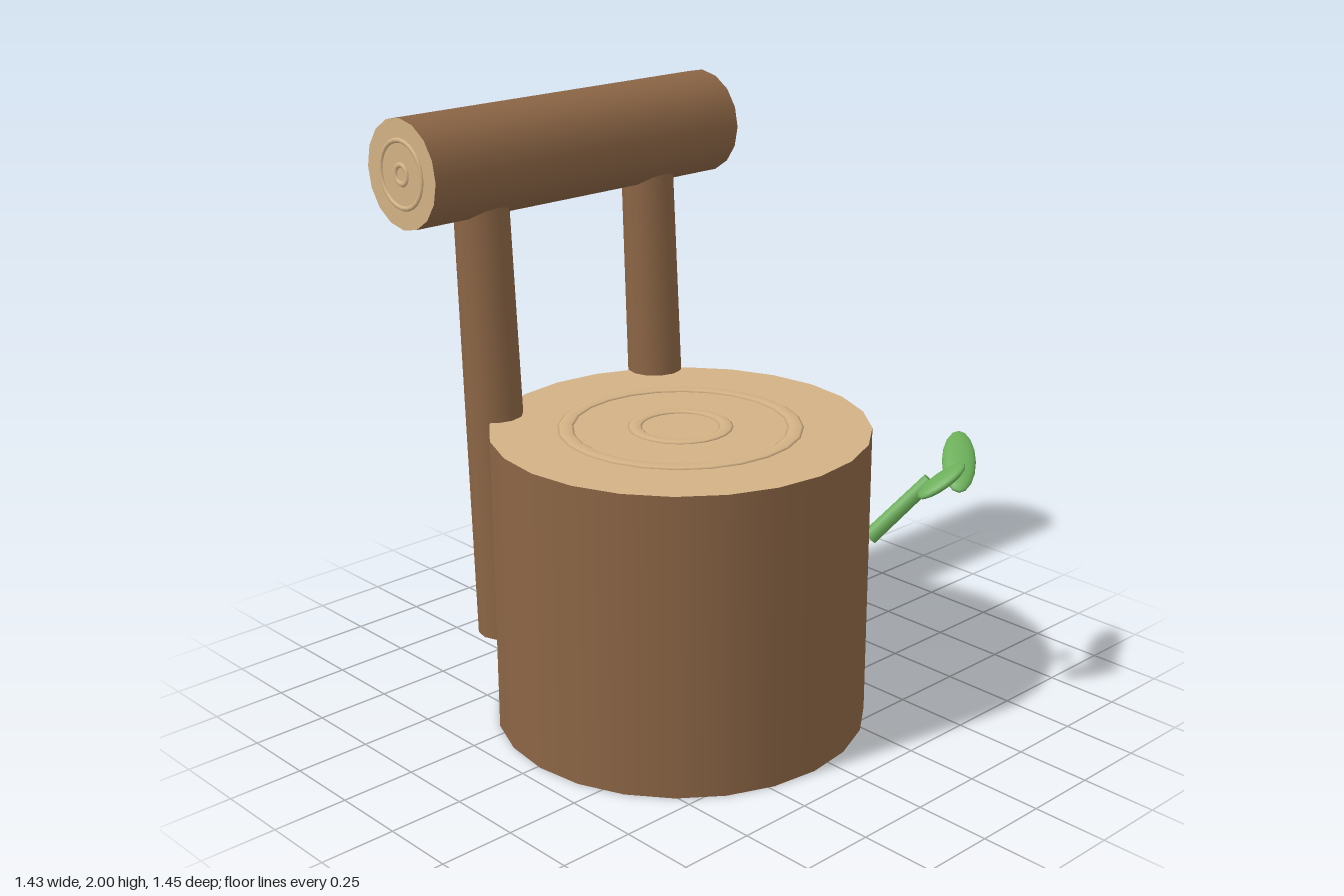
import * as THREE from 'three';

const bark = new THREE.MeshStandardMaterial({ color: 0x8b6545 });
bark.name = 'bark brown';
const wood = new THREE.MeshStandardMaterial({ color: 0xd2b184 });
wood.name = 'cut wood tan';
const leafGreen = new THREE.MeshStandardMaterial({ color: 0x6aad58 });
leafGreen.name = 'leaf green';

function addMesh(parent, name, geometry, material) {
  const mesh = new THREE.Mesh(geometry, material);
  mesh.name = name;
  parent.add(mesh);
  return mesh;
}

// Cylinder whose axis runs between two points
function addRod(parent, name, from, to, r0, r1, sides, material) {
  const a = new THREE.Vector3(...from);
  const b = new THREE.Vector3(...to);
  const dir = b.clone().sub(a);
  const rod = addMesh(parent, name, new THREE.CylinderGeometry(r1, r0, dir.length(), sides), material);
  rod.position.copy(a).add(b).multiplyScalar(0.5);
  rod.quaternion.setFromUnitVectors(new THREE.Vector3(0, 1, 0), dir.normalize());
  return rod;
}

// Flattened growth ring lying on a cut face, in the local xz plane
function addRing(parent, name, radius, tube, height, y) {
  const geometry = new THREE.TorusGeometry(radius, tube, 8, 24);
  geometry.rotateX(Math.PI / 2).scale(1, height / tube, 1);
  addMesh(parent, name, geometry, wood).position.y = y;
}

// Flattened ellipsoid leaf stretched along a half-length vector, facing up
function addLeaf(parent, name, center, half, width, thickness) {
  const along = new THREE.Vector3(...half);
  const length = along.length();
  along.normalize();
  const side = new THREE.Vector3().crossVectors(along, new THREE.Vector3(0, 1, 0)).normalize();
  const up = new THREE.Vector3().crossVectors(side, along);
  const geometry = new THREE.SphereGeometry(1, 16, 12);
  geometry.scale(length, thickness, width);
  const leaf = addMesh(parent, name, geometry, leafGreen);
  leaf.quaternion.setFromRotationMatrix(new THREE.Matrix4().makeBasis(along, up, side));
  leaf.position.set(...center);
}

export function createModel() {
  const model = new THREE.Group();
  model.name = 'stumpSeat';

  // Stump with cut faces and growth rings
  const stump = new THREE.Group();
  stump.name = 'stump';
  stump.position.set(-0.072, 0, 0.01);
  model.add(stump);
  addMesh(stump, 'stumpTrunk', new THREE.CylinderGeometry(0.615, 0.615, 1, 24), [bark, wood, wood]).position.y = 0.5;
  addRing(stump, 'stumpOuterRing', 0.37, 0.026, 0.006, 1);
  addRing(stump, 'stumpInnerRing', 0.147, 0.023, 0.006, 1);

  // Two leaning posts, half sunk in the back of the stump
  for (const [name, x] of [['rightPost', -0.428], ['leftPost', 0.283]]) {
    addRod(model, name, [x, 0.24, -0.464], [x, 1.78, -0.533], 0.1, 0.089, 12, bark);
  }

  // Backrest log lying across the posts, with rings on both ends
  const log = new THREE.Group();
  log.name = 'backrestLog';
  log.position.set(-0.072, 1.827, -0.555);
  log.rotation.z = Math.PI / 2;
  model.add(log);
  addMesh(log, 'logBody', new THREE.CylinderGeometry(0.175, 0.175, 1.275, 16), [bark, wood, wood]);
  for (const end of [-1, 1]) {
    addRing(log, 'logOuterRing', 0.106, 0.008, 0.006, end * 0.6375);
    addRing(log, 'logInnerRing', 0.03, 0.009, 0.006, end * 0.6375);
  }

  // Sprout on the front left of the stump
  const sprout = new THREE.Group();
  sprout.name = 'sprout';
  model.add(sprout);
  addRod(sprout, 'sproutStem', [0.376, 0.615, 0.436], [0.522, 0.81, 0.56], 0.028, 0.026, 8, leafGreen);
  addLeaf(sprout, 'largeLeaf', [0.613, 0.863, 0.603], [0.093, 0.061, -0.08], 0.055, 0.024);
  addLeaf(sprout, 'smallLeaf', [0.444, 0.858, 0.67], [0.068, 0.05, 0.037], 0.044, 0.02);

  return model;
}
